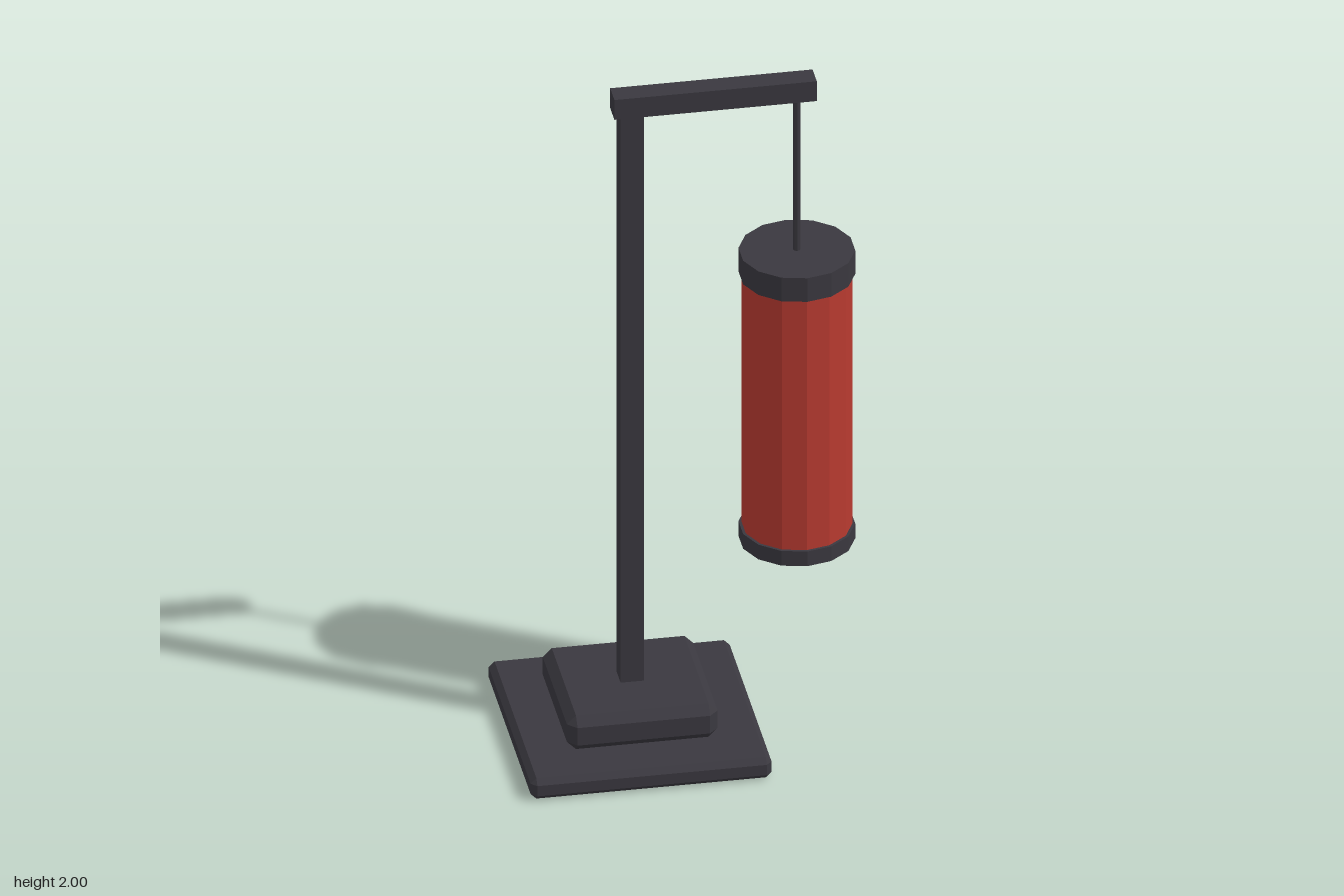
import * as THREE from 'three';
import { ConvexGeometry } from 'three/addons/geometries/ConvexGeometry.js';

const darkMetal = new THREE.MeshStandardMaterial({ color: 0x3a383f, flatShading: true });
darkMetal.name = 'dark metal';
const redPaper = new THREE.MeshStandardMaterial({ color: 0xb83a30, flatShading: true });
redPaper.name = 'red paper';

const POST_X = -0.141;
const LAMP_X = 0.317;

// Box whose edges and corners are cut by a single flat bevel
function bevelledBox(w, h, d, b) {
  const half = [w / 2, h / 2, d / 2];
  const points = [];
  for (const sx of [-1, 1]) for (const sy of [-1, 1]) for (const sz of [-1, 1]) {
    const sign = [sx, sy, sz];
    for (let axis = 0; axis < 3; axis++) {
      points.push(new THREE.Vector3(...half.map((v, i) => sign[i] * (i === axis ? v : v - b))));
    }
  }
  return new ConvexGeometry(points);
}

export function createModel() {
  const model = new THREE.Group();
  model.name = 'hangingLantern';

  function add(name, geometry, material, x, y0, y1, parent = model) {
    const mesh = new THREE.Mesh(geometry, material);
    mesh.name = name;
    mesh.position.set(x, (y0 + y1) / 2, 0);
    parent.add(mesh);
  }

  // Stepped foot
  add('lowerBase', bevelledBox(0.662, 0.064, 0.662, 0.016), darkMetal, POST_X, 0, 0.064);
  add('upperBase', bevelledBox(0.414, 0.105, 0.414, 0.025), darkMetal, POST_X, 0.064, 0.169);

  // Post and arm
  add('post', new THREE.BoxGeometry(0.064, 1.78, 0.064), darkMetal, POST_X, 0.16, 1.94);
  add('arm', new THREE.BoxGeometry(0.556, 0.062, 0.064), darkMetal, 0.088, 1.938, 2);

  // Lantern hung from a thin rod
  const lantern = new THREE.Group();
  lantern.name = 'lantern';
  model.add(lantern);
  const tube = (name, radius, y0, y1, material, sides = 14) =>
    add(name, new THREE.CylinderGeometry(radius, radius, y1 - y0, sides), material, LAMP_X, y0, y1, lantern);
  tube('hangingRod', 0.0105, 1.45, 1.94, darkMetal, 8);
  tube('topCap', 0.158, 1.386, 1.46, darkMetal);
  tube('shade', 0.15, 0.6, 1.388, redPaper);
  tube('bottomCap', 0.158, 0.556, 0.602, darkMetal);

  return model;
}
